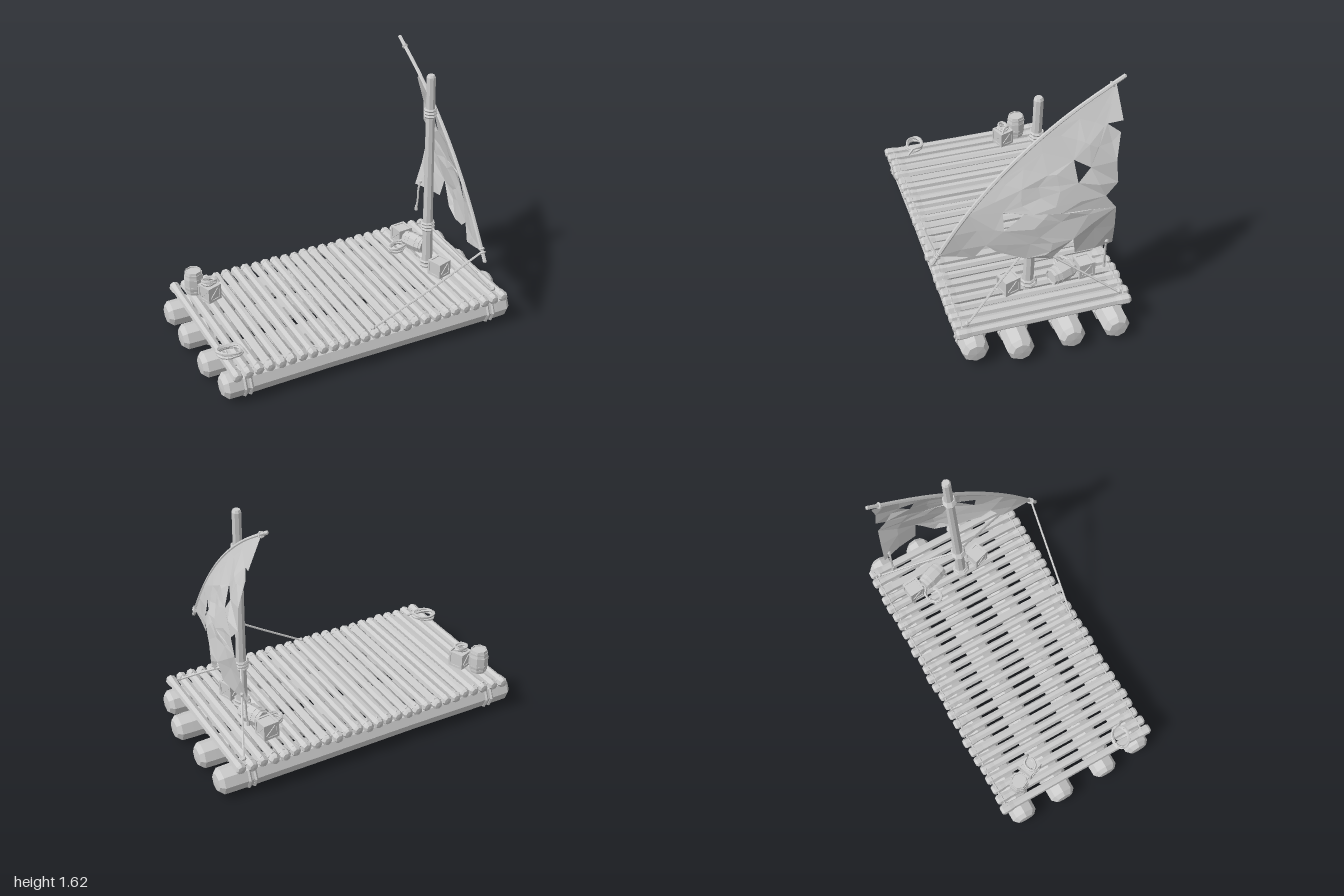
import * as THREE from 'three';

const V = (x, y, z) => new THREE.Vector3(x, y, z);

export function createModel() {
  const raft = new THREE.Group();
  raft.name = 'raft';
  const mat = new THREE.MeshStandardMaterial({ color: 0xcccccc, flatShading: true });
  const cloth = new THREE.MeshStandardMaterial({ color: 0xcccccc, flatShading: true, side: THREE.DoubleSide });

  let seed = 7;
  const rand = () => (seed = (seed * 16807) % 2147483647) / 2147483647 - 0.5;

  const add = (name, geo, parent = raft, material = mat) => {
    const mesh = new THREE.Mesh(geo, material);
    mesh.name = name;
    parent.add(mesh);
    return mesh;
  };
  const group = (name, x, y, z, ry = 0, parent = raft) => {
    const g = new THREE.Group();
    g.name = name;
    g.position.set(x, y, z);
    g.rotation.y = ry;
    parent.add(g);
    return g;
  };
  // Faceted round timber along y from [radius, height] pairs
  const turned = (profile, sides) =>
    new THREE.LatheGeometry(profile.map(([r, h]) => new THREE.Vector2(r, h)), sides);
  const rope = (name, points, r = 0.007, segments = 8, parent = raft) =>
    add(name, new THREE.TubeGeometry(new THREE.CatmullRomCurve3(points), segments, r, 5), parent);

  // Floating logs with paired rope bands
  [[-0.445, 0.09, -0.995, 0.99], [-0.175, 0.088, -1, 0.99], [0.135, 0.088, -0.995, 1], [0.385, 0.098, -0.965, 0.945]]
    .forEach(([z, y, a, b]) => {
      const log = group('floatLog', 0, y, z);
      const geo = turned([[0, a], [0.055, a + 0.004], [0.08, a + 0.03], [0.081, a + 0.1], [0.076, -0.3],
        [0.08, 0.35], [0.081, b - 0.1], [0.079, b - 0.03], [0.055, b - 0.004], [0, b]], 8);
      geo.rotateZ(-Math.PI / 2);
      add('timber', geo, log);
      for (const x of [-0.84, -0.805, 0.775, 0.81]) {
        const band = new THREE.TorusGeometry(0.081, 0.011, 5, 8).rotateY(Math.PI / 2);
        add('ropeBand', band, log).position.x = x;
      }
    });

  // Deck poles laid across the logs
  const COUNT = 27, STEP = 1.765 / (COUNT - 1);
  const poleX = i => -0.893 + i * STEP;
  for (let i = 0; i < COUNT; i++) {
    const a = -0.562 + rand() * 0.016, b = 0.485 + rand() * 0.02, m = 0.027 + rand() * 0.004;
    const geo = turned([[0, a], [0.023, a + 0.002], [0.032, a + 0.015], [0.031, a + 0.06], [m, a + 0.09],
      [m + rand() * 0.004, 0], [m, b - 0.09], [0.031, b - 0.06], [0.032, b - 0.015], [0.023, b - 0.002], [0, b]], 7);
    geo.rotateY(rand() * 2).rotateX(Math.PI / 2);
    add('deckPole', geo).position.set(poleX(i), 0.205 + rand() * 0.004, 0);
  }
  // Lashing that weaves over the pole ends
  for (const z of [-0.525, 0.44]) {
    const points = [];
    for (let i = 0; i < COUNT; i++) {
      points.push(V(poleX(i), 0.236, z));
      if (i < COUNT - 1) points.push(V(poleX(i) + STEP / 2, 0.21, z));
    }
    rope('deckLashing', points, 0.006, 106);
  }

  // Mast, leaning slightly backward, with collars of rope
  const mastAt = y => V(0.615, y, -0.014 - 0.042 * (y - 0.1) / 1.43);
  const mast = group('mast', 0.615, 0.1, -0.014);
  mast.rotation.x = -Math.atan(0.042 / 1.43);
  add('mastPole', turned([[0, 0], [0.035, 0.001], [0.034, 0.2], [0.03, 0.7], [0.028, 1.2], [0.028, 1.415], [0.02, 1.43], [0, 1.43]], 8), mast);
  for (const [h, r] of [[0.15, 0.046], [0.172, 0.038], [0.405, 0.036], [0.425, 0.037], [0.445, 0.036], [1.17, 0.031], [1.19, 0.032], [1.21, 0.031]])
    add('mastLashing', new THREE.TorusGeometry(r, 0.01, 5, 8).rotateX(Math.PI / 2), mast).position.y = h;

  // Curved yard
  const YX = 0.658;
  const yard = new THREE.CatmullRomCurve3([[0.555, 0.57], [0.37, 0.845], [0.155, 1.1], [-0.057, 1.295], [-0.25, 1.44], [-0.51, 1.6]]
    .map(([z, y]) => V(YX, y, z)));
  add('yard', new THREE.TubeGeometry(yard, 16, 0.012, 6));
  for (const t of [0, 1]) add('yardTip', new THREE.IcosahedronGeometry(0.013, 0)).position.copy(yard.getPoint(t));
  for (const t of [0.035, 0.05, 0.95]) {
    const knot = add('yardKnot', new THREE.TorusGeometry(0.014, 0.007, 5, 7));
    knot.position.copy(yard.getPointAt(t));
    knot.lookAt(knot.position.clone().add(yard.getTangentAt(t)));
  }

  // Torn sail: outline and holes as (z, y), cut into small facets, then bellied out
  const P = list => list.map(([z, y]) => new THREE.Vector2(z, y));
  const edge = [];
  for (let i = 0; i <= 10; i++) {
    const p = yard.getPoint(0.035 + i * 0.093);
    edge.push([p.z, p.y]);
  }
  const outline = P([...edge, [-0.48, 1.39], [-0.4, 1.37], [-0.465, 1.325], [-0.44, 1.165], [-0.45, 1.03], [-0.38, 0.96],
    [-0.44, 0.875], [-0.46, 0.57], [-0.22, 0.59], [-0.2, 0.705], [-0.15, 0.65], [-0.09, 0.575], [0.05, 0.57],
    [0.2, 0.615], [0.26, 0.668], [0.325, 0.575]]);
  const holes = [P([[0.168, 0.89], [0.062, 0.885], [0.168, 0.775]]),
    P([[-0.215, 1.183], [-0.3, 1.14], [-0.232, 1.053]])];
  const flat = [outline, ...holes].flat();
  const belly = p => {
    const s = ((0.55 - p.x) * 1.06 + (p.y - 0.58) * 1.02) / 2.164;
    const d = (0.55 - p.x) * 0.693 - (p.y - 0.58) * 0.72 + 0.42 * s * (1 - s);
    const ripple = 0.012 * Math.sin(p.x * 23 + p.y * 9) * Math.sin(p.y * 17 - p.x * 6);
    const t = THREE.MathUtils.clamp(d / 0.8, 0, 1);
    return YX + 0.004 + (0.165 * Math.sin(2.4 * t) + ripple * Math.min(1, t * 4)) * THREE.MathUtils.smoothstep(s, 0, 0.4);
  };
  const verts = [];
  const split = (a, b, c) => {
    const ab = a.distanceTo(b), bc = b.distanceTo(c), ca = c.distanceTo(a), longest = Math.max(ab, bc, ca);
    if (longest < 0.19) {
      for (const p of [a, b, c]) verts.push(belly(p), p.y, p.x);
      return;
    }
    if (longest === bc) return split(b, c, a);
    if (longest === ca) return split(c, a, b);
    const m = a.clone().add(b).multiplyScalar(0.5);
    split(a, m, c);
    split(m, b, c);
  };
  for (const [a, b, c] of THREE.ShapeUtils.triangulateShape(outline, holes)) split(flat[a], flat[b], flat[c]);
  const sailGeo = new THREE.BufferGeometry();
  sailGeo.setAttribute('position', new THREE.Float32BufferAttribute(verts, 3));
  sailGeo.computeVertexNormals();
  add('sail', sailGeo, raft, cloth);

  // Rigging
  rope('yardStay', [V(YX, 0.62, 0.525), V(0.33, 0.425, 0.485), V(-0.02, 0.235, 0.44)]);
  for (const z of [0.41, -0.5]) {
    rope('mastStay', [mastAt(0.53), V(0.725, 0.385, z / 2 - 0.01), V(0.835, 0.23, z)]);
    add('stayKnot', new THREE.IcosahedronGeometry(0.016, 0)).position.set(0.835, 0.238, z);
  }
  add('stayKnot', new THREE.IcosahedronGeometry(0.016, 0)).position.set(-0.02, 0.238, 0.44);
  rope('sheetRope', [V(0.79, 0.61, -0.415), V(0.775, 0.55, -0.42), V(0.772, 0.47, -0.42), V(0.765, 0.4, -0.423)]);
  add('sheetKnot', new THREE.IcosahedronGeometry(0.014, 0)).position.set(0.79, 0.605, -0.417);
  add('ropeEnd', new THREE.CylinderGeometry(0.008, 0.012, 0.035, 6)).position.set(0.765, 0.41, -0.423);

  // Framed crates with a diagonal brace on each side
  const crate = (x, z, ry, s = 0.1) => {
    const g = group('crate', x, 0.235 + s / 2, z, ry), w = s * 0.14, o = (s - w) / 2;
    add('crateBody', new THREE.BoxGeometry(s * 0.9, s * 0.9, s * 0.9), g);
    for (const i of [-1, 1]) for (const j of [-1, 1]) {
      add('crateEdge', new THREE.BoxGeometry(s, w, w), g).position.set(0, i * o, j * o);
      add('crateEdge', new THREE.BoxGeometry(w, s, w), g).position.set(i * o, 0, j * o);
      add('crateEdge', new THREE.BoxGeometry(w, w, s), g).position.set(i * o, j * o, 0);
    }
    for (let k = 0; k < 4; k++) {
      const side = group('crateBrace', 0, 0, 0, k * Math.PI / 2, g);
      const brace = add('brace', new THREE.BoxGeometry(s * 1.08, w, w * 0.6), side);
      brace.position.z = s * 0.46;
      brace.rotation.z = Math.PI / 4;
    }
  };
  crate(0.63, 0.105, 0.3);
  crate(0.62, -0.36, 0.1);
  crate(-0.755, -0.29, 0.35);

  // Hooped barrels, one standing and one lying down
  const barrel = (x, y, z, h, r) => {
    const g = group('barrel', x, y, z);
    add('staves', turned([[0, -h / 2 + 0.008], [r * 0.7, -h / 2 + 0.008], [r * 0.72, -h / 2], [r * 0.82, -h / 2], [r, -h * 0.17],
      [r, h * 0.17], [r * 0.82, h / 2], [r * 0.72, h / 2], [r * 0.7, h / 2 - 0.008], [0, h / 2 - 0.008]], 8), g);
    for (const t of [-0.36, -0.17, 0.17, 0.36])
      add('hoop', new THREE.CylinderGeometry(r * 1.02, r * 1.02, h * 0.07, 8, 1).scale(Math.abs(t) > 0.2 ? 0.92 : 1, 1, Math.abs(t) > 0.2 ? 0.92 : 1), g).position.y = t * h;
    return g;
  };
  barrel(-0.815, 0.312, -0.4, 0.155, 0.06);
  barrel(0.64, 0.292, -0.215, 0.16, 0.057).rotation.set(Math.PI / 2, 0, -0.35);

  // Loose coils of rope
  const coil = (x, y, z, r, ry) => {
    const points = [];
    for (let i = 0; i <= 32; i++) {
      const a = i * Math.PI / 4, q = r * (1 - 0.07 * (i % 5) / 2);
      points.push(V(Math.cos(a) * q * 1.15, 0.008 + i * 0.0008 + 0.006 * Math.sin(a * 1.3), Math.sin(a) * q * 0.8));
    }
    points.push(V(r * 1.5, 0.01, r * 0.5));
    rope('coil', points, 0.008, 70, group('ropeCoil', x, y, z, ry));
  };
  coil(0.535, 0.235, -0.265, 0.055, 0.4);
  coil(-0.865, 0.235, 0.295, 0.066, -0.3);
  coil(-0.755, 0.335, -0.29, 0.038, 0);

  return raft;
}
